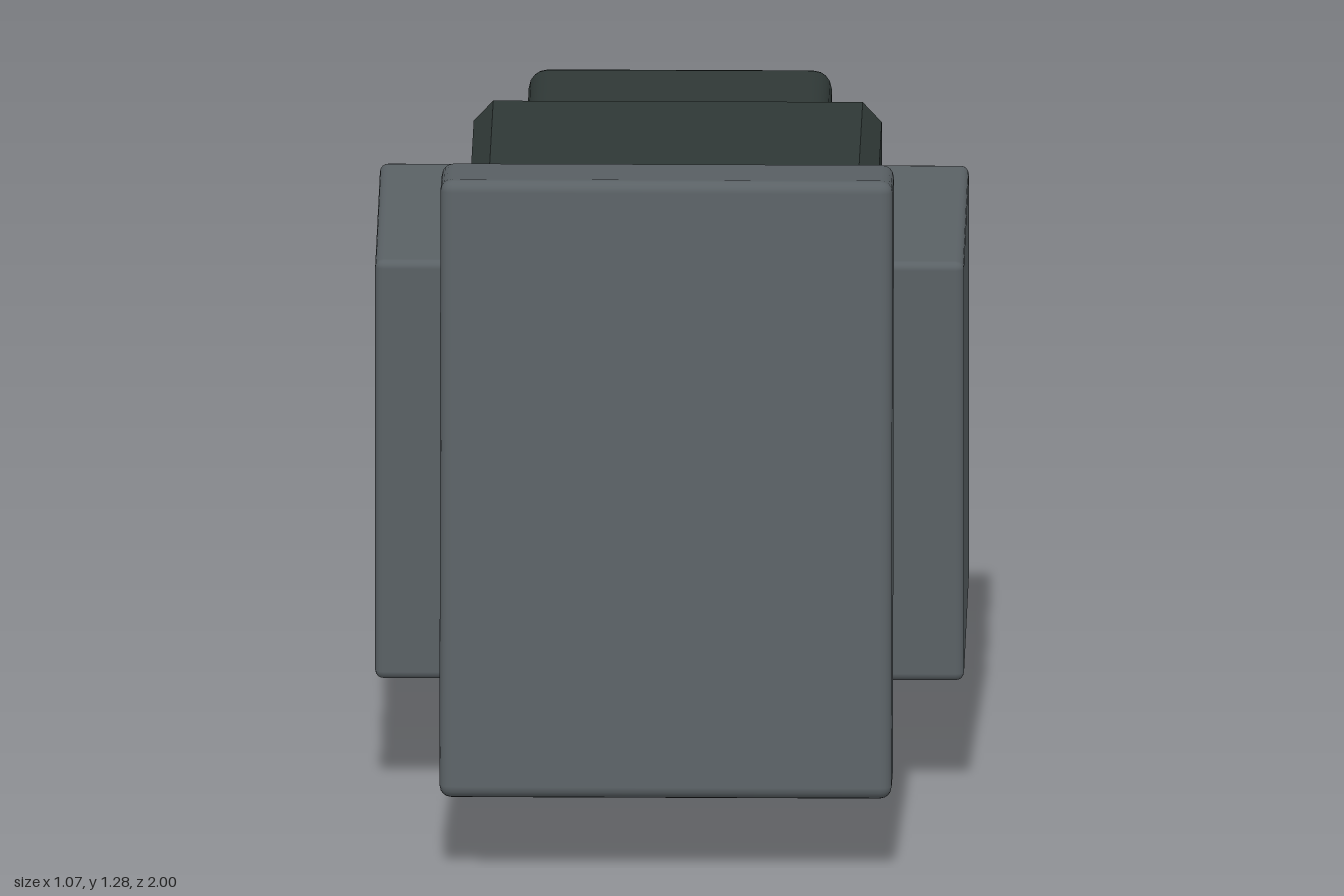
import * as THREE from 'three';
import { RoundedBoxGeometry } from 'three/addons/geometries/RoundedBoxGeometry.js';

const mat = (name, color) => {
  const m = new THREE.MeshStandardMaterial({ color });
  m.name = name;
  return m;
};

// Bevelled slab: outline given as [z, y], spanning x0..x1
function slab(points, x0, x1, bevelT, bevelS) {
  const shape = new THREE.Shape(points.map(([z, y]) => new THREE.Vector2(z, y)));
  const geo = new THREE.ExtrudeGeometry(shape, {
    depth: x1 - x0 - 2 * bevelT, bevelEnabled: true, bevelSegments: 1,
    bevelThickness: bevelT, bevelSize: bevelS, bevelOffset: -bevelS,
  });
  geo.rotateY(-Math.PI / 2);
  geo.translate(x1 - bevelT, 0, 0);
  return geo;
}

// Rounded block from its limits
function block(x0, x1, y0, y1, z0, z1, r) {
  const geo = new RoundedBoxGeometry(x1 - x0, y1 - y0, z1 - z0, 2, r);
  geo.translate((x0 + x1) / 2, (y0 + y1) / 2, (z0 + z1) / 2);
  return geo;
}

export function createModel() {
  const model = new THREE.Group();
  const dark = mat('dark hull', 0x2f3836);
  const slot = mat('dark ribs', 0x272e2d);
  const grey = mat('grey armour', 0x5a6165);
  const steel = mat('light steel', 0x8f9b9e);
  const pale = mat('pale lamp', 0xc4cac4);
  const orange = mat('orange lamp', 0xb87042);

  const add = (parent, name, geo, material) => {
    const mesh = new THREE.Mesh(geo, material);
    mesh.name = name;
    parent.add(mesh);
    return mesh;
  };

  // Bent hull with chamfered sides
  add(model, 'hull', slab([
    [0.79, 0.205], [0.67, 1.235], [-0.04, 1.02],
    [-0.655, 1.0], [-0.655, 0.04], [0.05, 0.003],
  ], -0.37, 0.37, 0.035, 0.03), dark);

  // Leaning front plate
  const plate = add(model, 'frontPlate', new RoundedBoxGeometry(0.82, 1.135, 0.22, 2, 0.022), grey);
  plate.position.set(0, 0.707, 0.828);
  plate.rotation.x = -0.117;

  // Rear block
  add(model, 'rearBlock', block(-0.275, 0.275, 0.06, 0.97, -1, -0.645, 0.035), dark);

  // Everything repeated on both flanks
  for (const s of [1, -1]) {
    const side = new THREE.Group();
    side.name = s > 0 ? 'leftSide' : 'rightSide';
    model.add(side);
    const sided = (a, b, ...rest) => block(Math.min(s * a, s * b), Math.max(s * a, s * b), ...rest);

    add(side, 'sidePad', sided(0.36, 0.534, 0.225, 1.015, -0.197, 0.46, 0.015), grey);
    add(side, 'rearBar', sided(0.25, 0.325, 0.085, 0.95, -0.79, -0.73, 0.005), steel);

    // Bent ribs running beneath the pad
    for (const y of [0.85, 0.57, 0.29]) {
      add(side, 'rib', slab([
        [-0.45, y - 0.04], [0, y - 0.04], [0.545, y + 0.13],
        [0.545, y + 0.23], [0, y + 0.04], [-0.45, y + 0.04],
      ], s > 0 ? 0.34 : -0.39, s > 0 ? 0.39 : -0.34, 0.01, 0.01), slot);
    }

    // Square lamps
    for (const y of [0.603, 0.445, 0.286]) {
      add(side, 'lamp', sided(0.36, 0.395, y - 0.034, y + 0.034, -0.565, -0.498, 0.004), pale);
    }

    // Orange lamp in its holder
    add(side, 'lampHolder', sided(0.36, 0.42, 0.765, 0.9, -0.348, -0.19, 0.006), slot);
    add(side, 'orangeLamp', sided(0.38, 0.43, 0.79, 0.875, -0.355, -0.25, 0.004), orange);
  }
  return model;
}
